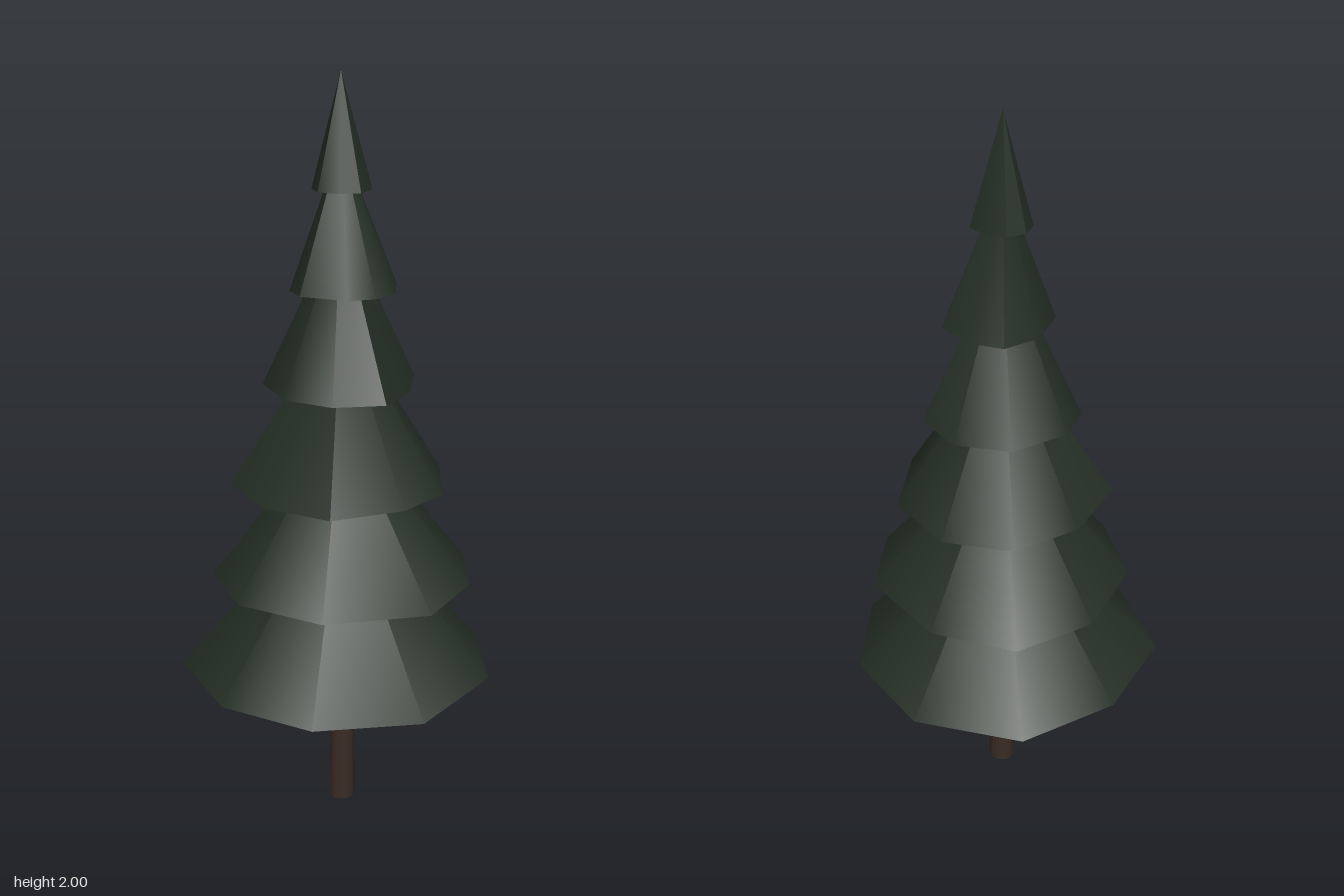
import * as THREE from 'three';
import { toCreasedNormals } from 'three/addons/utils/BufferGeometryUtils.js';

// Each tier: rim height, apex height, nine uneven rim corners (x, z) from the back round to the left
const TIERS = [
  { y: 0.42, top: 0.92, rim: [0, -0.405, 0.26, -0.31, 0.4, -0.08, 0.36, 0.235, 0.13, 0.405, -0.14, 0.4, -0.37, 0.23, -0.4, -0.05, -0.28, -0.305] },
  { y: 0.68, top: 1.13, rim: [-0.01, -0.335, 0.24, -0.255, 0.34, -0.07, 0.335, 0.15, 0.12, 0.33, -0.13, 0.325, -0.295, 0.18, -0.335, -0.065, -0.235, -0.27] },
  { y: 0.94, top: 1.4, rim: [-0.01, -0.28, 0.18, -0.215, 0.28, -0.02, 0.245, 0.13, 0.115, 0.28, -0.08, 0.28, -0.245, 0.165, -0.265, -0.04, -0.185, -0.21] },
  { y: 1.2, top: 1.64, rim: [-0.01, -0.22, 0.12, -0.175, 0.18, -0.03, 0.18, 0.105, 0.07, 0.185, -0.07, 0.185, -0.19, 0.085, -0.215, -0.02, -0.145, -0.165] },
  { y: 1.455, top: 1.83, rim: [-0.01, -0.15, 0.09, -0.125, 0.14, -0.02, 0.125, 0.06, 0.07, 0.11, -0.055, 0.125, -0.11, 0.08, -0.135, -0.035, -0.095, -0.125] },
  { y: 1.71, top: 2.0, rim: [0, -0.07, 0.05, -0.06, 0.07, -0.02, 0.07, 0.035, 0.03, 0.07, -0.03, 0.075, -0.07, 0.035, -0.08, -0.01, -0.055, -0.055] },
];

// Closed cone from an uneven rim to a single apex
function tierGeometry({ y, top, rim }) {
  const n = rim.length / 2;
  const corner = (i) => [rim[(i % n) * 2], y, rim[(i % n) * 2 + 1]];
  const positions = [];
  for (let i = 0; i < n; i++) {
    positions.push(-0.005, top, 0, ...corner(i + 1), ...corner(i)); // sloping side
    positions.push(-0.005, y, 0, ...corner(i), ...corner(i + 1)); // underside
  }
  const geometry = new THREE.BufferGeometry();
  geometry.setAttribute('position', new THREE.Float32BufferAttribute(positions, 3));
  return toCreasedNormals(geometry, THREE.MathUtils.degToRad(40));
}

export function createModel() {
  const tree = new THREE.Group();
  tree.name = 'pineTree';

  const needles = new THREE.MeshStandardMaterial({ color: 0x232e24 });
  needles.name = 'darkGreenNeedles';
  const bark = new THREE.MeshStandardMaterial({ color: 0x3a2b25 });
  bark.name = 'brownBark';

  // Slim trunk, running a little way into the lowest tier
  const trunk = new THREE.Mesh(
    toCreasedNormals(new THREE.CylinderGeometry(0.03, 0.036, 0.46, 9), THREE.MathUtils.degToRad(40)),
    bark,
  );
  trunk.name = 'trunk';
  trunk.position.set(-0.003, 0.23, 0);
  tree.add(trunk);

  // Stacked foliage tiers
  TIERS.forEach((tier, i) => {
    const mesh = new THREE.Mesh(tierGeometry(tier), needles);
    mesh.name = `foliageTier${i + 1}`;
    tree.add(mesh);
  });

  return tree;
}
